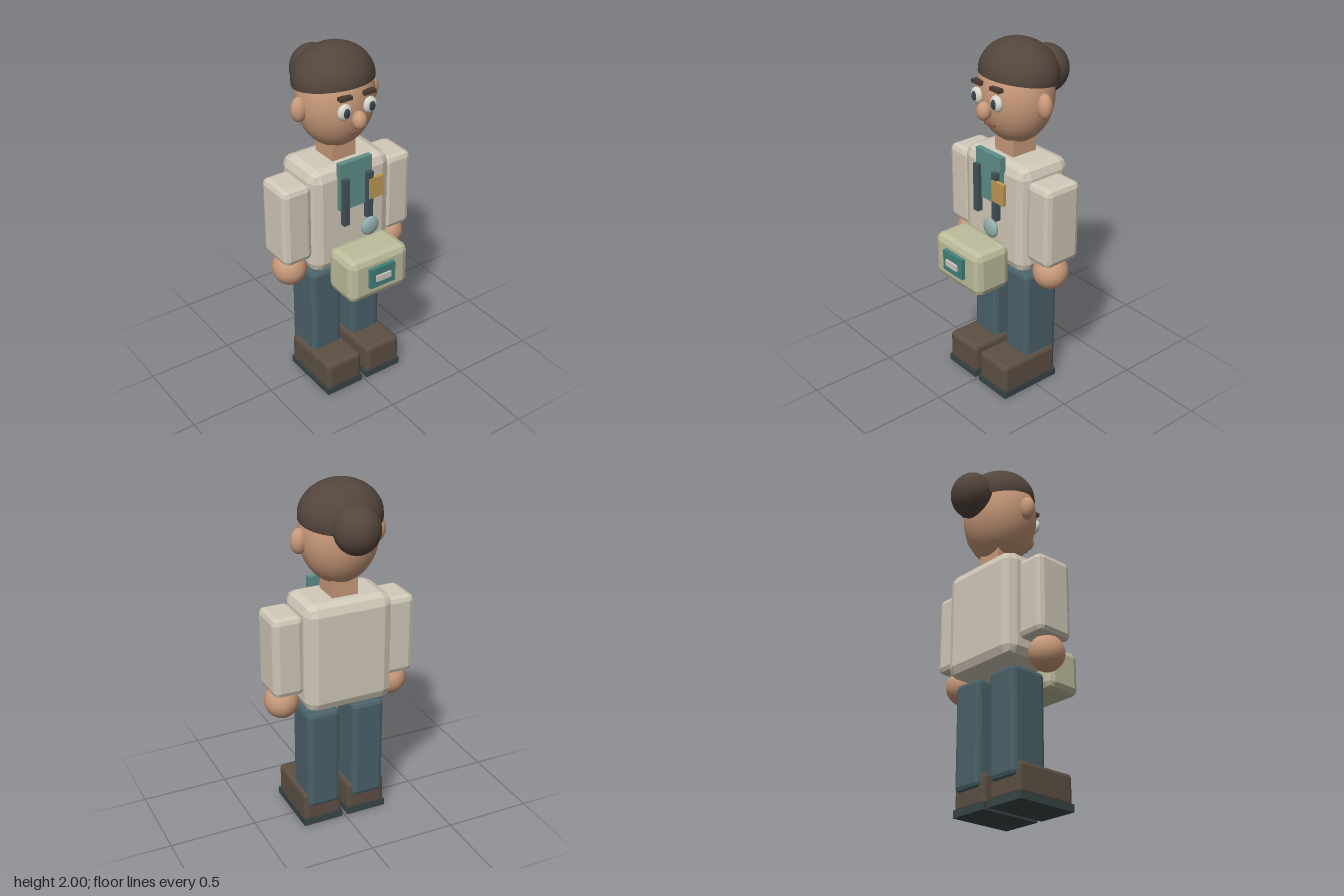
import * as THREE from 'three';

const C = {
  skin: 0xc99a7a, hair: 0x54463d, shirt: 0xd2c9b9, trousers: 0x4b626a, shoe: 0x5d5044, sole: 0x3a4646,
  teal: 0x5f8f88, tealDark: 0x42827c, strap: 0x43525a, badge: 0xc09a55, medal: 0x94b0ad, bag: 0xbfbd9d,
  label: 0xd0c9bd, eye: 0xd9d8cc, pupil: 0x34424a, brow: 0x4a3a32, mouth: 0x8a5a48
};

// Box with a two-step bevel of radius r on every edge
function bevelBox(w, h, d, r) {
  const g = new THREE.BoxGeometry(1, 1, 1, 3, 3, 3), p = g.attributes.position;
  const half = [w / 2 - r, h / 2 - r, d / 2 - r];
  for (let i = 0; i < p.count; i++) {
    const v = [p.getX(i), p.getY(i), p.getZ(i)];
    const n = new THREE.Vector3(...v.map(c => (Math.abs(c) > 0.4 ? Math.sign(c) : 0))).normalize();
    p.setXYZ(i, ...v.map((c, k) => Math.sign(c) * half[k] + n.getComponent(k) * r));
  }
  g.computeVertexNormals();
  return g;
}

export function createModel() {
  const model = new THREE.Group();
  model.name = 'figure';

  function add(name, geometry, color, x, y, z, flat = false) {
    const material = new THREE.MeshStandardMaterial({ color, flatShading: flat });
    const mesh = new THREE.Mesh(geometry, material);
    mesh.name = name;
    mesh.position.set(x, y, z);
    model.add(mesh);
    return mesh;
  }

  // Box given by its extents [min, max] on each axis; r is the bevel
  function box(name, color, [x0, x1], [y0, y1], [z0, z1], r = 0) {
    const size = [x1 - x0, y1 - y0, z1 - z0];
    const g = r ? bevelBox(...size, r) : new THREE.BoxGeometry(...size);
    return add(name, g, color, (x0 + x1) / 2, (y0 + y1) / 2, (z0 + z1) / 2, true);
  }

  function ball(name, color, [x, y, z], [rx, ry, rz], seg = 24) {
    const g = new THREE.SphereGeometry(1, seg, Math.round(seg * 0.7)).scale(rx, ry, rz);
    return add(name, g, color, x, y, z);
  }

  // Body
  box('torso', C.shirt, [-0.254, 0.254], [0.755, 1.38], [-0.228, 0.106], 0.06);
  box('neck', C.skin, [-0.075, 0.075], [1.34, 1.52], [-0.14, 0.02]);

  // Limbs and paired face parts
  for (const [side, s] of [['left', 1], ['right', -1]]) {
    const span = (a, b) => (s > 0 ? [a, b] : [-b, -a]);
    box(side + 'Sleeve', C.shirt, span(0.238, 0.415), [0.855, 1.315], [-0.155, 0.075], 0.032);
    ball(side + 'Hand', C.skin, [s * 0.33, 0.782, -0.03], [0.096, 0.1, 0.1]);
    box(side + 'Leg', C.trousers, span(0.04, 0.23), [0.125, 0.725], [-0.172, 0.053], 0.025);
    box(side + 'Shoe', C.shoe, span(0.02, 0.25), [0.025, 0.203], [-0.15, 0.225], 0.022);
    box(side + 'Sole', C.sole, span(0.016, 0.254), [0, 0.042], [-0.152, 0.227]);
    ball(side + 'Ear', C.skin, [s * 0.225, 1.695, -0.06], [0.047, 0.07, 0.041], 16);
    ball(side + 'Eye', C.eye, [s * 0.079, 1.716, 0.136], [0.042, 0.045, 0.024], 16);
    ball(side + 'Pupil', C.pupil, [s * 0.079, 1.716, 0.154], [0.02, 0.027, 0.012], 12);
    box(side + 'Eyebrow', C.brow, span(0.037, 0.11), [1.78, 1.8], [0.115, 0.149]);
  }

  // Head
  ball('head', C.skin, [0, 1.712, -0.06], [0.217, 0.275, 0.2], 32);
  ball('nose', C.skin, [0, 1.657, 0.155], [0.041, 0.052, 0.041], 16);
  box('mouth', C.mouth, [-0.037, 0.037], [1.566, 1.58], [0.09, 0.126]);

  // Hair cap, tilted back, and the bun behind it
  const cap = new THREE.SphereGeometry(1, 24, 10, 0, Math.PI * 2, 0, Math.PI * 0.54).scale(0.228, 0.185, 0.205);
  const hair = add('hair', cap, C.hair, 0, 1.815, -0.08);
  hair.rotation.x = -0.15;
  hair.material.side = THREE.DoubleSide;
  ball('bun', C.hair, [0, 1.792, -0.272], [0.125, 0.133, 0.121]);

  // Front panel, straps, badge and pendant
  box('frontPanel', C.teal, [-0.103, 0.103], [1.135, 1.415], [0.098, 0.131]);
  box('rightStrap', C.strap, [-0.095, -0.059], [1.05, 1.33], [0.125, 0.158]);
  box('leftStrap', C.strap, [0.059, 0.095], [1.05, 1.33], [0.125, 0.158]);
  box('badge', C.badge, [0.065, 0.161], [1.168, 1.29], [0.141, 0.163]);
  ball('pendant', C.medal, [0.066, 1.008, 0.17], [0.056, 0.056, 0.022]);

  // Belt bag
  box('bag', C.bag, [-0.19, 0.19], [0.685, 0.945], [0.133, 0.36], 0.04);
  box('bagPlate', C.tealDark, [-0.081, 0.081], [0.767, 0.887], [0.345, 0.383]);
  box('bagLabel', C.label, [-0.047, 0.047], [0.807, 0.843], [0.375, 0.394]);

  return model;
}
